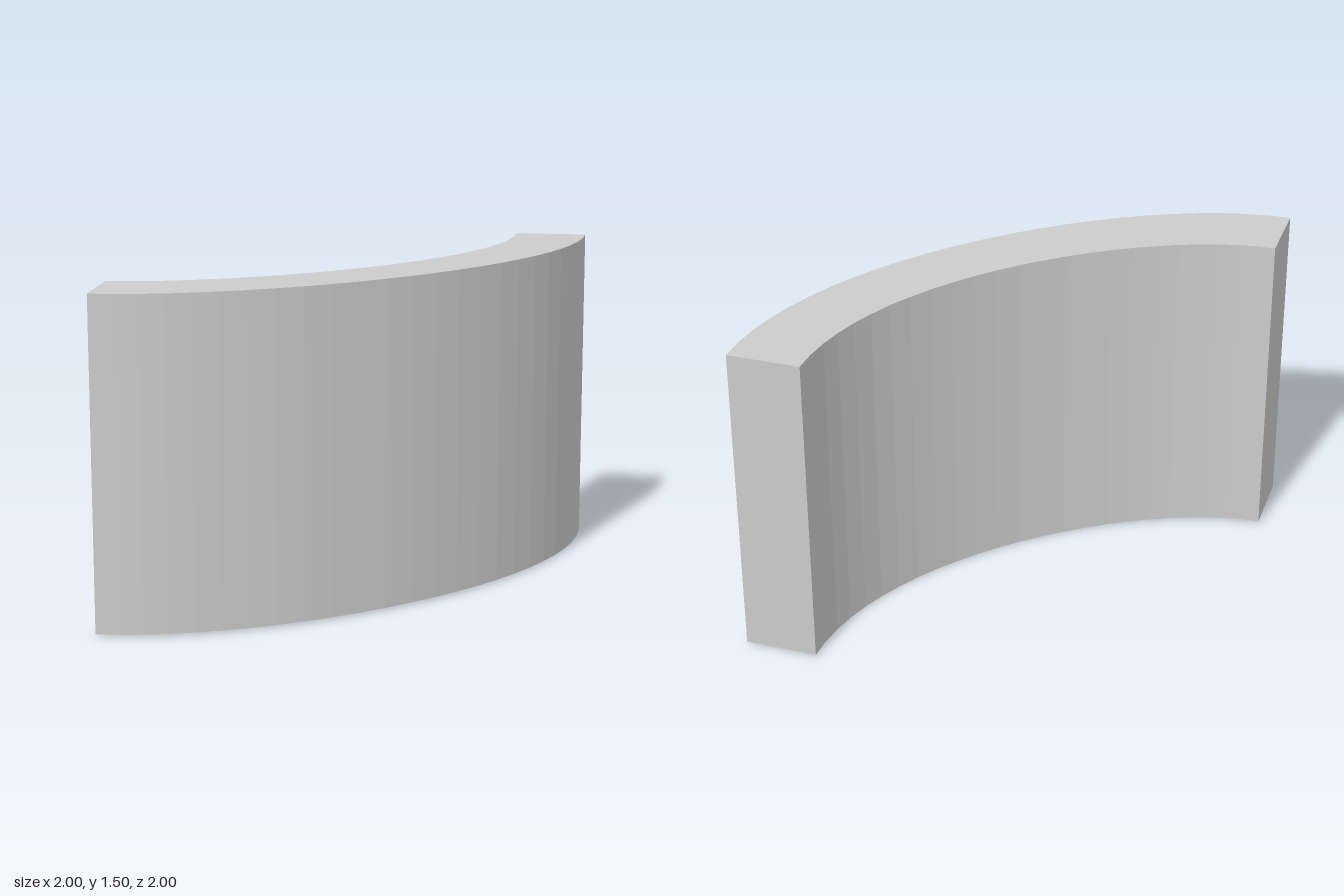
import * as THREE from 'three';

const SEGMENTS = 24;
const TOP = 1.505;

// Plan curve in (x, z), given as a cubic
function planCurve(...points) {
  return new THREE.CubicBezierCurve(...points.map(([x, z]) => new THREE.Vector2(x, z)));
}

export function createModel() {
  const group = new THREE.Group();
  group.name = 'curvedBlock';

  const outer = planCurve([-1, 0.995], [-0.2, 0.995], [1, -0.05], [1, -1]);
  const inner = planCurve([-1, 0.665], [-0.38, 0.665], [0.665, -0.14], [0.665, -1]);

  // Cross-section ring: outer bottom, outer top, inner top, inner bottom
  const ring = (t) => {
    const o = outer.getPoint(t);
    const i = inner.getPoint(t);
    const sag = 0.008 * (1 - Math.sin(Math.PI * t)); // inner lower edge dips slightly mid-span
    return [[o.x, 0.008, o.y], [o.x, TOP, o.y], [i.x, TOP, i.y], [i.x, sag, i.y]];
  };

  const positions = [];
  const quad = (a, b, c, d) => positions.push(...a, ...b, ...c, ...a, ...c, ...d);

  // Four long sides, strip by strip
  for (let s = 0; s < SEGMENTS; s++) {
    const a = ring(s / SEGMENTS);
    const b = ring((s + 1) / SEGMENTS);
    for (let k = 0; k < 4; k++) {
      const n = (k + 1) % 4;
      quad(a[k], b[k], b[n], a[n]);
    }
  }

  // Flat ends
  const [p, q, r, u] = ring(0);
  quad(p, q, r, u);
  const end = ring(1).reverse();
  quad(...end);

  const geometry = new THREE.BufferGeometry();
  geometry.setAttribute('position', new THREE.Float32BufferAttribute(positions, 3));
  geometry.computeVertexNormals();

  const wall = new THREE.Mesh(
    geometry,
    new THREE.MeshStandardMaterial({ color: 0xcccccc, flatShading: true })
  );
  wall.name = 'curvedWall';
  group.add(wall);
  return group;
}
